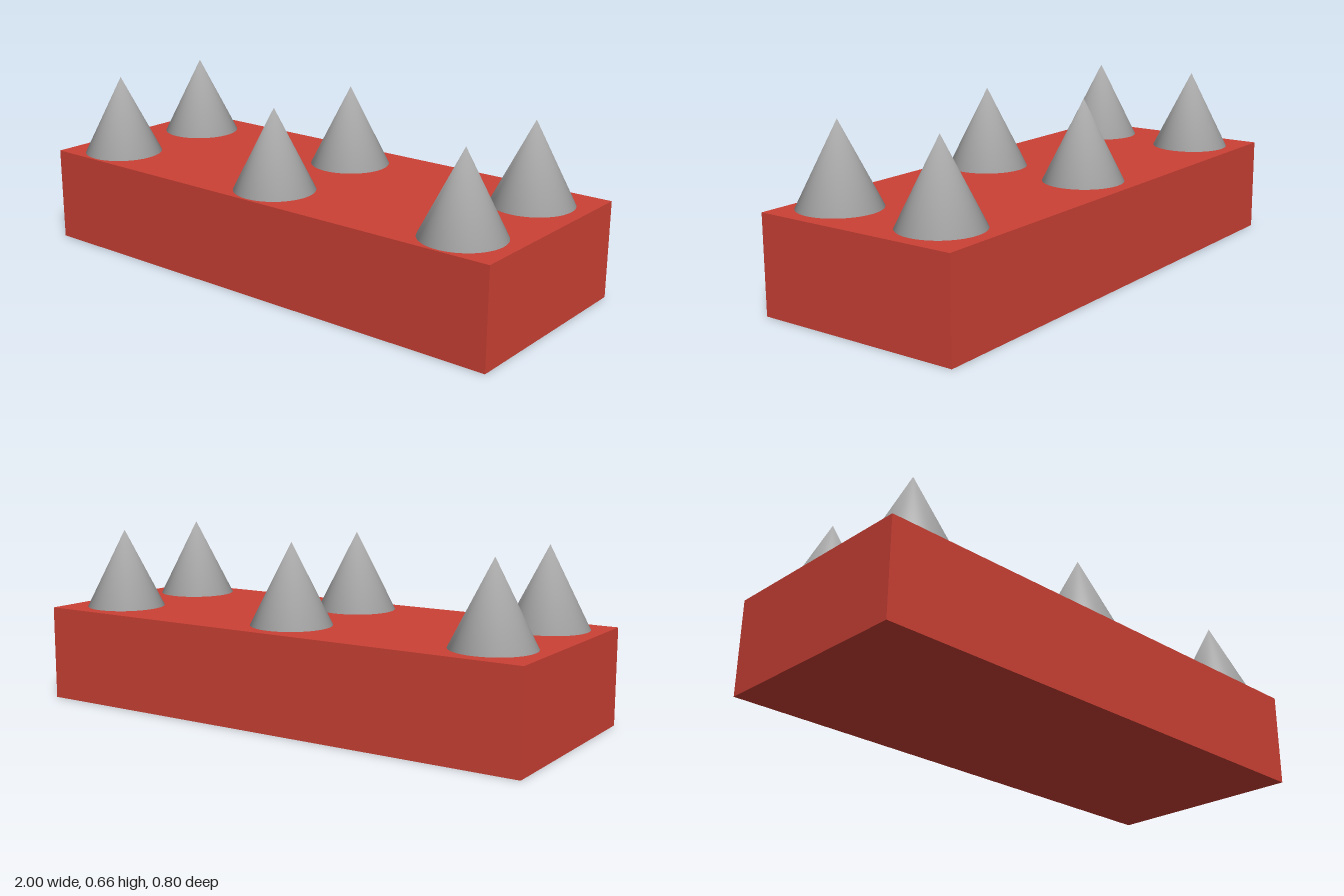
import * as THREE from 'three';
import { mergeVertices } from 'three/addons/utils/BufferGeometryUtils.js';

const LENGTH = 2, HEIGHT = 0.36, DEPTH = 0.8;
const SPIKE_RADIUS = 0.15, SPIKE_HEIGHT = 0.3;

// Cone with shared vertices, so the shading rolls softly from rim to tip
function spikeGeometry() {
  const cone = new THREE.ConeGeometry(SPIKE_RADIUS, SPIKE_HEIGHT, 64);
  cone.deleteAttribute('normal');
  cone.deleteAttribute('uv');
  cone.clearGroups();
  const smooth = mergeVertices(cone, 1e-4);
  smooth.computeVertexNormals();
  return smooth;
}

export function createModel() {
  const group = new THREE.Group();
  group.name = 'spikedBlock';

  const red = new THREE.MeshStandardMaterial({ color: 0xcc4135 });
  red.name = 'red';
  const grey = new THREE.MeshStandardMaterial({ color: 0xb2b2b2 });
  grey.name = 'grey';

  // Base block
  const block = new THREE.Mesh(new THREE.BoxGeometry(LENGTH, HEIGHT, DEPTH), red);
  block.name = 'block';
  block.position.y = HEIGHT / 2;
  group.add(block);

  // Two rows of three spikes; the front row sits nearer its edge
  const geometry = spikeGeometry();
  const rows = { front: 0.24, back: -0.2 };
  const columns = { Right: -0.8, Middle: 0, Left: 0.8 };
  for (const [row, z] of Object.entries(rows)) {
    for (const [column, x] of Object.entries(columns)) {
      const spike = new THREE.Mesh(geometry, grey);
      spike.name = `${row}${column}Spike`;
      spike.position.set(x, HEIGHT + SPIKE_HEIGHT / 2, z);
      group.add(spike);
    }
  }
  return group;
}
